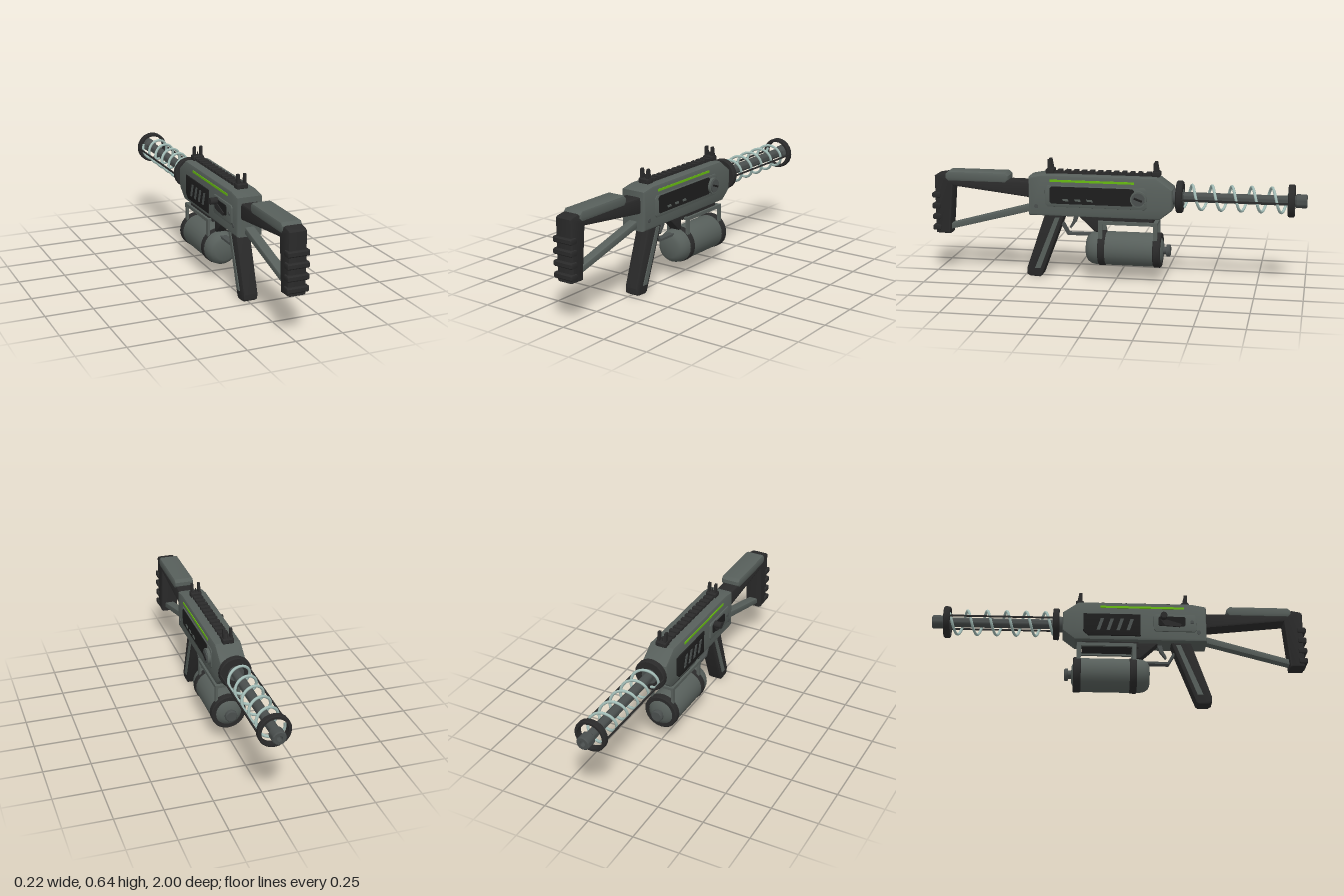
import * as THREE from 'three';
import { toCreasedNormals } from 'three/addons/utils/BufferGeometryUtils.js';

const mat = (name, color) => {
  const m = new THREE.MeshStandardMaterial({ color });
  m.name = name;
  return m;
};

export function createModel() {
  const root = new THREE.Group();
  root.name = 'springBarrelBlaster';
  const body = mat('greyGreen', 0x575f5b);
  const dark = mat('charcoal', 0x2a2a2a);
  const black = mat('nearBlack', 0x1d1d1d);
  const steel = mat('steelGrey', 0x4a4f4e);
  const coilMat = mat('paleMint', 0xa3bdb7);
  const green = mat('green', 0x66bb10);

  const add = (name, geo, m, x = 0, y = 0, z = 0) => {
    const mesh = new THREE.Mesh(geo, m);
    mesh.name = name;
    mesh.position.set(x, y, z);
    root.add(mesh);
    return mesh;
  };
  const box = (name, m, w, h, d, x, y, z) => add(name, new THREE.BoxGeometry(w, h, d), m, x, y, z);

  // side profile of [z, y] points, extruded across x with a bevelled edge
  const slab = (name, m, pts, x0, x1, bevel = 0) => {
    const shape = new THREE.Shape(pts.map(([z, y]) => new THREE.Vector2(z, y)));
    const depth = x1 - x0 - 2 * bevel;
    const geo = new THREE.ExtrudeGeometry(shape, {
      depth, bevelEnabled: bevel > 0, bevelThickness: bevel, bevelSize: bevel, bevelOffset: -bevel, bevelSegments: 2,
    });
    geo.translate(0, 0, -depth / 2).rotateY(-Math.PI / 2);
    return add(name, toCreasedNormals(geo, 0.5), m, (x0 + x1) / 2);
  };
  // chamfered rectangle in the side plane
  const rect = (z0, z1, y0, y1, c = 0.012) => [
    [z0 + c, y0], [z1 - c, y0], [z1, y0 + c], [z1, y1 - c], [z1 - c, y1], [z0 + c, y1], [z0, y1 - c], [z0, y0 + c]];
  // profile of [radius, z] points turned round the z axis
  const turned = (name, m, pts, y, sides = 24) => {
    const geo = new THREE.LatheGeometry(pts.map(([r, z]) => new THREE.Vector2(r, z)), sides).rotateX(Math.PI / 2);
    return add(name, toCreasedNormals(geo, 0.6), m, 0, y, 0);
  };
  const ring = (name, m, r0, r1, z0, z1, y) =>
    turned(name, m, [[r0, z0], [r1 - 0.005, z0], [r1, z0 + 0.005], [r1, z1 - 0.005], [r1 - 0.005, z1], [r0, z1], [r0, z0]], y);
  const xCylinder = (name, m, r, x0, x1, y, z, sides = 20) =>
    add(name, new THREE.CylinderGeometry(r, r, x1 - x0, sides).rotateZ(Math.PI / 2), m, (x0 + x1) / 2, y, z);

  // stock: butt, arm, cheek pad, lower strut and grip ribs
  slab('stockFrame', dark, [[0.985, 0.225], [0.987, 0.54], [0.975, 0.548], [0.93, 0.556], [0.89, 0.53], [0.44, 0.525],
    [0.44, 0.437], [0.885, 0.488], [0.907, 0.222]], -0.048, 0.048, 0.01);
  slab('cheekPad', body, rect(0.577, 0.925, 0.515, 0.568, 0.016), -0.054, 0.054, 0.01);
  slab('stockStrut', body, [[0.92, 0.24], [0.92, 0.272], [0.44, 0.404], [0.44, 0.366]], -0.025, 0.025, 0.005);
  for (const y of [0.435, 0.376, 0.316, 0.257])
    slab('buttRib', dark, rect(0.955, 1, y - 0.015, y + 0.015, 0.006), -0.057, 0.057, 0.004);

  // receiver
  slab('receiver', body, [[0.463, 0.348], [0.463, 0.555], [0.385, 0.57], [-0.22, 0.57], [-0.305, 0.508],
    [-0.305, 0.4], [-0.24, 0.348]], -0.07, 0.07, 0.012);
  for (const s of [-1, 1]) {
    box('greenStripe', green, 0.006, 0.012, 0.45, s * 0.07, 0.54, 0.12);
    xCylinder('rearScrew', steel, 0.011, s * 0.07 - 0.004, s * 0.07 + 0.004, 0.4, 0.42, 10);
  }

  // right-hand control panel with buttons and a slotted dial
  slab('controlSurround', body, rect(-0.175, 0.372, 0.4, 0.515, 0.015), 0.065, 0.074, 0.002);
  slab('controlPanel', black, rect(-0.105, 0.345, 0.418, 0.51, 0.01), 0.07, 0.077);
  for (const z of [0.26, 0.195, 0.13])
    slab('panelButton', body, [[z - 0.018, 0.434], [z + 0.012, 0.434], [z + 0.018, 0.446], [z - 0.012, 0.446]], 0.075, 0.08);
  xCylinder('dial', body, 0.043, 0.065, 0.09, 0.458, -0.13);
  xCylinder('dialFace', steel, 0.035, 0.085, 0.095, 0.458, -0.13);
  const slot = box('dialSlot', black, 0.006, 0.01, 0.045, 0.096, 0.458, -0.13);
  slot.rotation.x = -0.35;

  // left-hand vent panel and selector lever
  slab('ventPanel', black, [[-0.195, 0.395], [-0.17, 0.37], [0.11, 0.37], [0.11, 0.498], [-0.195, 0.498]], -0.076, -0.065, 0.002);
  for (const z of [-0.105, -0.052, 0.001, 0.054])
    slab('ventSlat', steel, [[z - 0.02, 0.4], [z - 0.002, 0.4], [z + 0.02, 0.468], [z + 0.002, 0.468]], -0.08, -0.073);
  slab('selectorFrame', body, rect(0.18, 0.41, 0.4, 0.5, 0.012), -0.077, -0.065, 0.002);
  slab('selectorRecess', black, rect(0.205, 0.35, 0.43, 0.485, 0.008), -0.081, -0.072);
  xCylinder('selectorKnob', dark, 0.018, -0.118, -0.07, 0.478, 0.232, 12);
  slab('selectorLever', dark, [[0.215, 0.465], [0.25, 0.465], [0.33, 0.44], [0.32, 0.425], [0.24, 0.43]], -0.086, -0.07);
  xCylinder('selectorScrew', steel, 0.01, -0.082, -0.07, 0.455, 0.385, 10);

  // top rail and sights
  box('railBase', dark, 0.04, 0.012, 0.59, 0, 0.574, 0.065);
  for (let i = 0; i < 14; i++) box('railTooth', dark, 0.052, 0.014, 0.024, 0, 0.581, 0.347 - i * 0.0433);
  for (const z of [0.354, -0.214]) {
    slab('sightBase', dark, rect(z - 0.022, z + 0.022, 0.568, 0.596, 0.005), -0.029, 0.029, 0.002);
    for (const s of [-1, 1])
      slab('sightPost', dark, [[z - 0.014, 0.59], [z + 0.014, 0.59], [z + 0.012, 0.645], [z - 0.004, 0.645]],
        s * 0.019 - 0.006, s * 0.019 + 0.006);
    box('sightPin', dark, 0.004, 0.022, 0.006, 0, 0.604, z);
  }

  // barrel, collars, side rods and coil
  const by = 0.464;
  turned('barrelNeck', steel, [[0, -0.36], [0.042, -0.36], [0.042, -0.29], [0, -0.29]], by);
  turned('barrel', steel, [[0, -0.95], [0.026, -0.95], [0.026, -0.33], [0, -0.33]], by);
  turned('muzzle', steel, [[0, -0.965], [0.015, -0.965], [0.015, -1], [0.031, -1], [0.036, -0.994],
    [0.036, -0.945], [0.026, -0.935], [0, -0.935]], by);
  ring('rearCollar', dark, 0.036, 0.085, -0.356, -0.322, by);
  ring('frontCollar', dark, 0.068, 0.085, -0.937, -0.902, by);
  for (const s of [-1, 1]) box('sideRod', dark, 0.007, 0.008, 0.56, s * 0.081, by, -0.63);
  const turns = 5.3, steps = 64;
  const path = Array.from({ length: steps + 1 }, (_, i) => {
    const t = i / steps, a = (t * turns - 0.48) * Math.PI * 2;
    return new THREE.Vector3(Math.sin(a) * 0.064, by + Math.cos(a) * 0.064, -0.355 - t * 0.55);
  });
  add('coil', new THREE.TubeGeometry(new THREE.CatmullRomCurve3(path), 200, 0.0075, 8), coilMat);

  // gas tank with bands and nozzle
  const ty = 0.17;
  turned('tank', body, [[0, -0.256], [0.045, -0.253], [0.07, -0.24], [0.085, -0.22], [0.09, -0.2], [0.09, 0.105],
    [0.084, 0.13], [0.072, 0.148], [0.055, 0.157], [0, 0.157]], ty);
  ring('tankBand', dark, 0.08, 0.094, 0.05, 0.09, ty);
  ring('tankBand', dark, 0.07, 0.094, -0.245, -0.205, ty);
  turned('tankNozzle', steel, [[0, -0.292], [0.028, -0.292], [0.033, -0.287], [0.033, -0.272], [0.022, -0.27],
    [0.022, -0.245], [0, -0.245]], ty, 12);

  // hanger frames and the block they hang from
  box('hangerBlock', dark, 0.09, 0.04, 0.3, 0, 0.337, -0.05);
  for (const s of [-1, 1]) {
    const x = s * 0.061;
    box('hangerBar', body, 0.013, 0.018, 0.316, x, 0.321, -0.07);
    for (const z of [0.076, -0.217]) box('hangerPost', body, 0.013, 0.095, 0.022, x, 0.28, z);
  }
  for (const z of [0.076, -0.217]) box('hangerCrossbar', body, 0.122, 0.014, 0.022, 0, 0.322, z);

  // pistol grip with side inlays
  slab('grip', dark, [[0.378, 0.36], [0.485, 0.045], [0.483, 0.014], [0.468, 0.004], [0.412, 0.001], [0.4, 0.012],
    [0.285, 0.315], [0.27, 0.36]], -0.04, 0.04, 0.01);
  for (const s of [-1, 1])
    slab('gripInlay', body, [[0.325, 0.335], [0.3, 0.335], [0.408, 0.052], [0.438, 0.052]], s * 0.0415 - 0.004, s * 0.0415 + 0.004);

  // trigger, guard and the wedge in front of it
  slab('triggerGuard', steel, [[0.3, 0.3], [0.262, 0.236], [0.1, 0.236], [0.1, 0.248], [0.256, 0.248], [0.285, 0.3]], -0.018, 0.018);
  slab('trigger', steel, [[0.225, 0.355], [0.2, 0.355], [0.215, 0.31], [0.245, 0.27], [0.252, 0.278], [0.235, 0.312]], -0.01, 0.01);
  slab('guardWedge', dark, [[0.21, 0.355], [0.09, 0.355], [0.09, 0.262], [0.11, 0.262]], -0.03, 0.03, 0.004);

  root.position.x = 0.008;
  return root;
}
